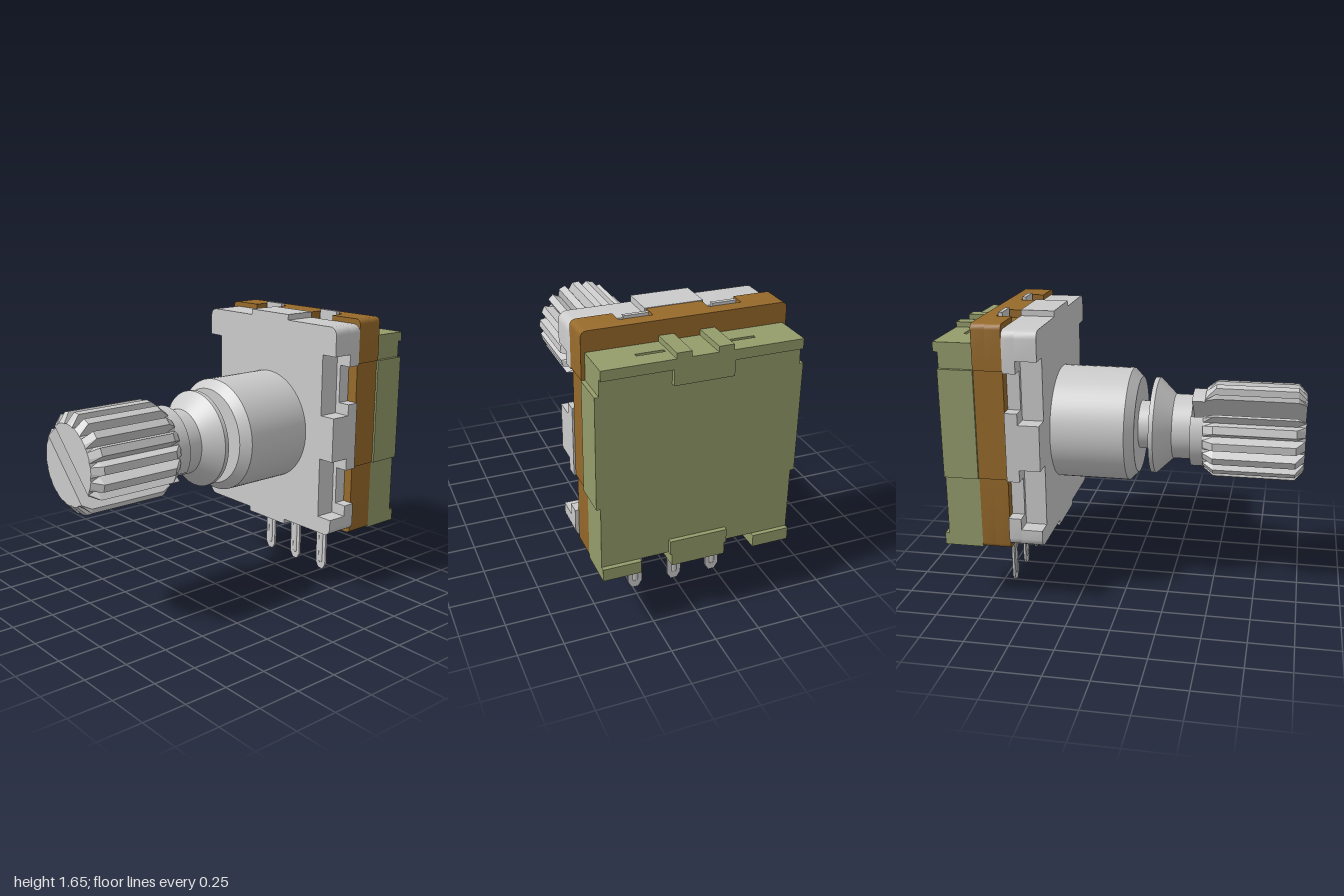
import * as THREE from 'three';
import { toCreasedNormals } from 'three/addons/utils/BufferGeometryUtils.js';

const grey = new THREE.MeshStandardMaterial({ color: 0xcccccc });
const brown = new THREE.MeshStandardMaterial({ color: 0x976a2b });
const green = new THREE.MeshStandardMaterial({ color: 0x949c6b });
const AXIS_Y = 0.953;

export function createModel() {
  const model = new THREE.Group();

  const add = (name, geometry, material, parent = model) => {
    const mesh = new THREE.Mesh(geometry, material);
    mesh.name = name;
    parent.add(mesh);
    return mesh;
  };
  const box = (name, x0, x1, y0, y1, z0, z1, material) =>
    add(name, new THREE.BoxGeometry(x1 - x0, y1 - y0, z1 - z0), material)
      .position.set((x0 + x1) / 2, (y0 + y1) / 2, (z0 + z1) / 2);

  // Plate from the right half of its outline (bottom to top), mirrored in x
  const slab = (name, half, z0, z1, material) => {
    const pts = [...half, ...half.map(([x, y]) => [-x, y]).reverse()];
    const shape = new THREE.Shape(pts.map(([x, y]) => new THREE.Vector2(x, y)));
    const geo = new THREE.ExtrudeGeometry(shape, { depth: z1 - z0, bevelEnabled: false });
    geo.translate(0, 0, z0);
    return add(name, toCreasedNormals(geo, 0.6), material);
  };
  // Rounded corner points, counter-clockwise from angle a
  const corner = (cx, cy, r, a) => [0, 1, 2, 3, 4].map((i) => {
    const t = a + (i * Math.PI) / 8;
    return [cx + r * Math.cos(t), cy + r * Math.sin(t)];
  });

  // Metal cover: deep side recesses in front, narrower open windows behind
  const cover = (notches, x) => [
    [0.16, 0.34], [0.16, 0.37],
    ...corner(0.505, 0.415, 0.045, -Math.PI / 2),
    ...notches.flatMap(([a, b]) => [[0.55, a], [x, a], [x, b], [0.55, b]]),
    ...corner(0.505, 1.56, 0.045, 0),
    [0.16, 1.605], [0.16, 1.638],
  ];
  slab('coverFront', cover([[0.47, 0.825], [1.085, 1.44]], 0.45), -0.54, -0.42, grey);
  slab('coverBack', cover([[0.535, 0.755], [1.15, 1.37]], 0.475), -0.612, -0.54, grey);

  // Brown insulating board, with pockets in its top edge
  const board = (pockets) => [
    ...corner(0.505, 0.365, 0.025, -Math.PI / 2),
    [0.53, 0.76], [0.54, 0.76], [0.54, 1.38], [0.55, 1.38],
    ...corner(0.52, 1.605, 0.03, 0),
    ...(pockets ? [[0.33, 1.635], [0.33, 1.59], [0.15, 1.59], [0.15, 1.635]] : []),
  ];
  slab('boardFront', board(true), -0.7, -0.612, brown);
  slab('boardBack', board(false), -0.777, -0.7, brown);

  // Rear housing, extruded upwards, with slots through it and notches at the bottom
  const housingLayer = (name, y0, y1, notched) => {
    const s = new THREE.Shape();
    const back = notched
      ? [[-0.53, 1], [-0.32, 1], [-0.32, 0.88], [-0.15, 0.88], [-0.15, 1],
        [0.15, 1], [0.15, 0.88], [0.32, 0.88], [0.32, 1], [0.53, 1]]
      : [[-0.53, 0.975], [0.53, 0.975]];
    s.setFromPoints([[0.53, 0.777], [-0.53, 0.777], ...back]
      .map(([x, z]) => new THREE.Vector2(x, z)).reverse());
    if (!notched) {
      for (const x of [-0.24, 0.24]) {
        s.holes.push(new THREE.Path([[-1, 0.88], [1, 0.88], [1, 0.9], [-1, 0.9]]
          .map(([d, z]) => new THREE.Vector2(x + d * 0.075, z))));
      }
    }
    const geo = new THREE.ExtrudeGeometry(s, { depth: y1 - y0, bevelEnabled: false });
    geo.rotateX(-Math.PI / 2).translate(0, y0, 0);
    return add(name, geo, green);
  };
  housingLayer('housingFoot', 0.34, 0.41, true);
  housingLayer('housingBody', 0.41, 1.525, false);
  box('lowerBackLip', -0.16, 0.16, 0.41, 0.49, -1, -0.975, green);
  box('upperBackLip', -0.53, 0.53, 1.47, 1.525, -1, -0.975, green);
  box('upperBackLipCentre', -0.16, 0.16, 1.385, 1.47, -1, -0.975, green);
  for (const s of [-1, 1]) {
    const side = s * 0.54, rib = s * 0.11, tab = s * 0.236;
    box('housingSide', side - 0.012, side + 0.012, 0.76, 1.38, -0.975, -0.777, green);
    box('housingTopRib', rib - 0.04, rib + 0.04, 1.52, 1.555, -1, -0.777, green);
    // Bent cover tabs lying in the board pockets
    box('coverTab', tab - 0.067, tab + 0.067, 1.58, 1.65, -0.698, -0.675, grey);
  }

  // Contact pins with a raised rib on both faces
  for (const x of [-0.235, 0, 0.235]) {
    const pin = new THREE.Group();
    pin.name = 'pin';
    pin.position.set(x, 0, -0.684);
    model.add(pin);
    const blade = new THREE.Shape([[-0.04, 0.37], [-0.04, 0.035], [-0.018, 0],
      [0.018, 0], [0.04, 0.035], [0.04, 0.37]].map((p) => new THREE.Vector2(...p)));
    add('pinBlade', new THREE.ExtrudeGeometry(blade, { depth: 0.014, bevelEnabled: false }), grey, pin)
      .position.z = -0.007;
    const rib = add('pinRib', new THREE.CapsuleGeometry(0.019, 0.26, 4, 10), grey, pin);
    rib.position.y = 0.185;
    rib.scale.z = 0.7;
  }

  // Turned parts along the z axis
  const turned = (name, profile) => {
    const geo = new THREE.LatheGeometry(profile.map(([r, z]) => new THREE.Vector2(r, z)), 64);
    geo.rotateX(Math.PI / 2);
    add(name, toCreasedNormals(geo, 0.4), grey).position.y = AXIS_Y;
  };
  turned('bushing', [[0, -0.43], [0.33, -0.43], [0.33, 0], [0.28, 0.05], [0, 0.05]]);
  turned('shaft', [[0, 0.04], [0.14, 0.04], [0.14, 0.13], [0.28, 0.13], [0.28, 0.155],
    [0.188, 0.25], [0.188, 0.36], [0, 0.36]]);

  // Knurled end, split in two by a diagonal slot
  const GAP = 0.049, TEETH = 18;
  const halfDisc = (radiusPoints, rOuter) => {
    const u = Math.sqrt(rOuter * rOuter - GAP * GAP);
    const pts = radiusPoints.map(([r, a]) => new THREE.Vector2(r * Math.cos(a), r * Math.sin(a)))
      .filter((p) => p.y > GAP + 0.004);
    return new THREE.Shape([new THREE.Vector2(u, GAP), ...pts, new THREE.Vector2(-u, GAP)]);
  };
  const toothed = [], round = [];
  for (let i = 0; i < TEETH / 2; i++) {
    const pitch = (2 * Math.PI) / TEETH;
    for (const [f, r] of [[0, 0.222], [0.27, 0.28], [0.73, 0.28]]) toothed.push([r, (i + f) * pitch]);
  }
  for (let i = 1; i < 32; i++) round.push([0.225, (i * Math.PI) / 32]);

  const knurl = new THREE.ExtrudeGeometry(halfDisc(toothed, 0.26), { depth: 3, steps: 3, bevelEnabled: false });
  const levels = [0.43, 0.49, 0.95, 1], limits = [0.235, 0.3, 0.3, 0.226];
  const pos = knurl.attributes.position;
  for (let i = 0; i < pos.count; i++) {
    const k = Math.round(pos.getZ(i)), x = pos.getX(i), y = pos.getY(i);
    const r = Math.hypot(x, y), lim = limits[k];
    // Chamfer both ends while keeping the slot wall flat
    if (r > lim) {
      if (y < GAP + 0.001) pos.setX(i, Math.sign(x) * Math.sqrt(lim * lim - y * y));
      else pos.setXY(i, (x * lim) / r, (y * lim) / r);
    }
    pos.setZ(i, levels[k]);
  }
  knurl.computeVertexNormals();
  const root = new THREE.ExtrudeGeometry(halfDisc(round, 0.225), { depth: 0.075, bevelEnabled: false });
  root.translate(0, 0, 0.357);

  for (const turn of [0, Math.PI]) {
    const half = new THREE.Group();
    half.name = 'knobHalf';
    half.position.y = AXIS_Y;
    half.rotation.z = turn - Math.PI / 4;
    add('knurl', knurl, grey, half);
    add('knurlRoot', toCreasedNormals(root, 0.4), grey, half);
    model.add(half);
  }
  return model;
}
